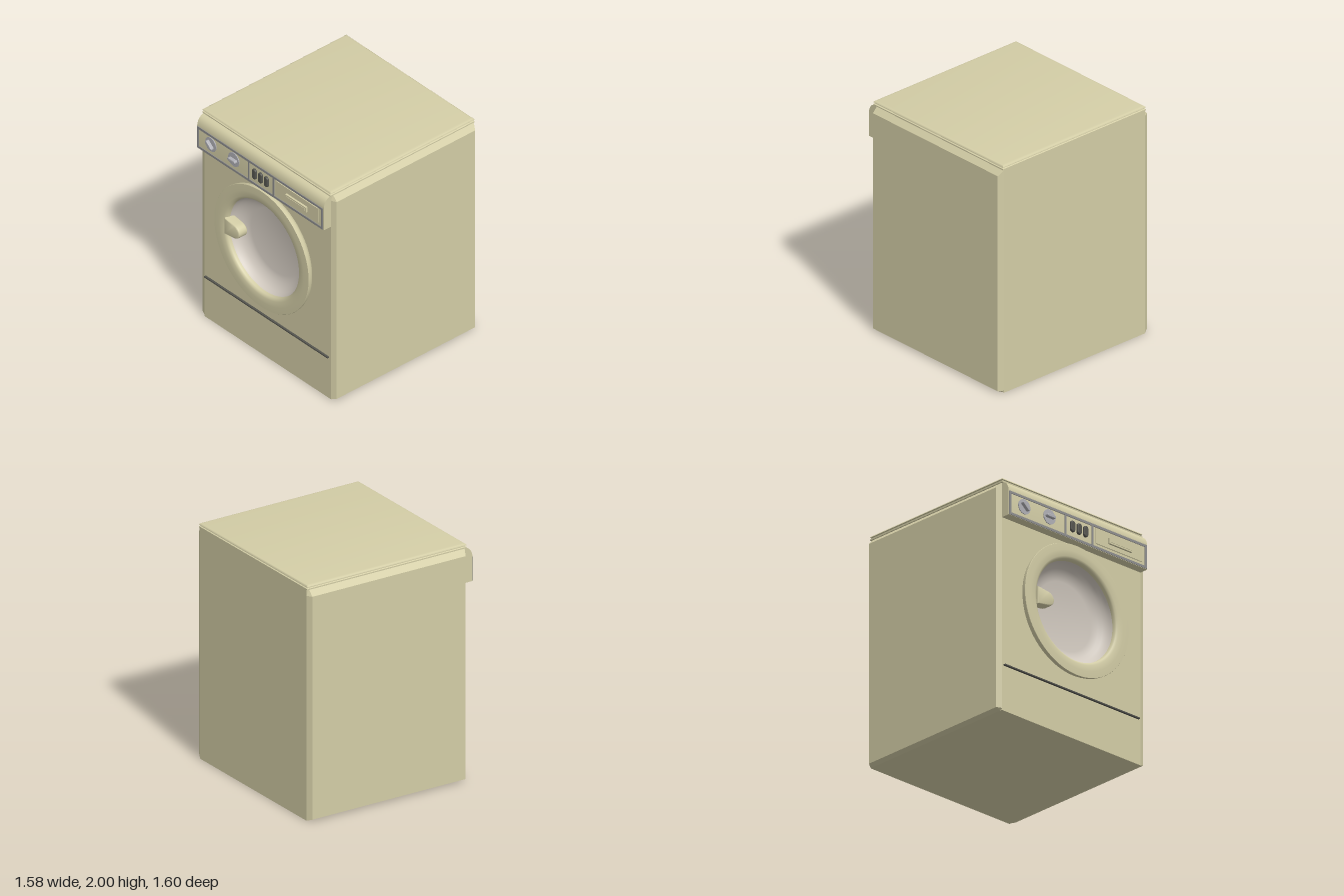
import * as THREE from 'three';
import { toCreasedNormals } from 'three/addons/utils/BufferGeometryUtils.js';

const paint = (color) => new THREE.MeshStandardMaterial({ color });
const enamel = paint(0xd3cda6), trim = paint(0x8e8e8e), metal = paint(0xb0b0b6);
const dark = paint(0x55554f), glass = paint(0xd2cac0);
const PANEL_Z = 0.765;
const DOOR_Y = 1.074;

// Joins stacked [x, z] outlines (left to right along the front, then round) into a closed solid.
function loft(levels, skipSide = -1) {
  const pos = [];
  const put = (...pts) => pts.forEach(([y, p]) => pos.push(p[0], y, p[1]));
  for (let l = 0; l < levels.length - 1; l++) {
    const [y0, a] = levels[l], [y1, b] = levels[l + 1];
    for (let i = 0; i < a.length; i++) {
      if (i === skipSide) continue;
      const j = (i + 1) % a.length;
      put([y0, a[i]], [y0, a[j]], [y1, b[j]], [y0, a[i]], [y1, b[j]], [y1, b[i]]);
    }
  }
  const [yb, bot] = levels[0], [yt, top] = levels[levels.length - 1];
  for (let i = 1; i < bot.length - 1; i++) {
    put([yb, bot[0]], [yb, bot[i + 1]], [yb, bot[i]]);
    put([yt, top[0]], [yt, top[i]], [yt, top[i + 1]]);
  }
  const g = new THREE.BufferGeometry();
  g.setAttribute('position', new THREE.Float32BufferAttribute(pos, 3));
  g.computeVertexNormals();
  return g;
}

function rect(x0, y0, x1, y1, Type = THREE.Shape) {
  return new Type([[x0, y0], [x1, y0], [x1, y1], [x0, y1]].map((p) => new THREE.Vector2(...p)));
}

// Lathe about the z axis from [radius, z] points.
function latheZ(points, segments = 96) {
  const g = new THREE.LatheGeometry(points.map((p) => new THREE.Vector2(...p)), segments);
  return toCreasedNormals(g.rotateX(Math.PI / 2), 0.6);
}

// Rounded pill with soft edges, lying in the xy plane and rising along z.
function pill(w, h, depth, bevel) {
  const W = w / 2 - bevel, H = h / 2 - bevel, r = Math.min(W, H) * 0.95;
  const s = new THREE.Shape();
  s.absarc(W - r, H - r, r, 0, Math.PI / 2);
  s.absarc(-W + r, H - r, r, Math.PI / 2, Math.PI);
  s.absarc(-W + r, -H + r, r, Math.PI, Math.PI * 1.5);
  s.absarc(W - r, -H + r, r, Math.PI * 1.5, Math.PI * 2);
  return new THREE.ExtrudeGeometry(s, {
    depth: depth - bevel, bevelSize: bevel, bevelThickness: bevel, bevelSegments: 2, curveSegments: 6,
  });
}

export function createModel() {
  const root = new THREE.Group();
  const add = (name, geometry, material, x = 0, y = 0, z = 0, parent = root) => {
    const m = new THREE.Mesh(geometry, material);
    m.name = name;
    m.position.set(x, y, z);
    parent.add(m);
    return m;
  };

  // Cabinet: chamfered box, its front a separate sheet with the door opening
  const c = 0.745;
  const cabinetRing = (w) => [[-c, 0.69], [c, 0.69], [w, 0.67], [w, -0.775], [c, -0.8], [-c, -0.8], [-w, -0.775], [-w, 0.67]];
  add('cabinet', loft([[0, 0.75], [0.018, 0.79], [1.912, 0.79], [1.96, 0.746]].map(([y, w]) => [y, cabinetRing(w)]), 0), enamel);
  const front = rect(-c, 0, c, 1.96);
  front.holes.push(new THREE.Path().absarc(0, DOOR_Y, 0.47, 0, Math.PI * 2, true));
  add('cabinetFront', new THREE.ShapeGeometry(front, 48), enamel, 0, 0, 0.69);

  // Lid with a groove round its rim
  const lidRing = (d) => [[-0.755 + d, 0.703 - d], [0.755 - d, 0.703 - d], [0.755 - d, -0.8 + d], [-0.755 + d, -0.8 + d]];
  const lid = [[1.955, 0.01], [1.96, 0], [1.97, 0], [1.975, 0.009], [1.98, 0.009], [1.984, 0], [1.991, 0.002], [1.997, 0.009], [2, 0.025]];
  add('lid', toCreasedNormals(loft(lid.map(([y, d]) => [y, lidRing(d)])), 0.7), enamel);

  // Control panel housing: side profile extruded across the width
  const side = new THREE.Shape();
  side.moveTo(-0.68, 1.662);
  side.lineTo(-PANEL_Z, 1.662);
  side.lineTo(-PANEL_Z, 1.875);
  side.bezierCurveTo(-0.76, 1.91, -0.745, 1.955, -0.69, 1.958);
  side.lineTo(-0.68, 1.958);
  const housing = new THREE.ExtrudeGeometry(side, { depth: 1.49, bevelEnabled: false, curveSegments: 10 });
  housing.rotateY(Math.PI / 2).translate(-0.745, 0, 0);
  add('controlPanel', toCreasedNormals(housing, 0.6), enamel);

  // Trim frame with three windows
  const frame = rect(-0.742, 1.665, 0.738, 1.868);
  for (const [x0, x1] of [[-0.722, -0.143], [-0.127, 0.147], [0.163, 0.718]]) {
    frame.holes.push(rect(x0, 1.685, x1, 1.848, THREE.Path));
  }
  add('panelFrame', new THREE.ExtrudeGeometry(frame, { depth: 0.006, bevelEnabled: false }), trim, 0, 0, PANEL_Z);

  // Dials with grips
  for (const [x, turn] of [[-0.58, -0.72], [-0.31, 0]]) {
    const dial = new THREE.Group();
    dial.name = 'dial';
    dial.position.set(x, 1.777, PANEL_Z);
    dial.rotation.z = turn;
    root.add(dial);
    add('dialDisc', latheZ([[0.063, 0], [0.063, 0.007], [0, 0.008]], 48), metal, 0, 0, 0, dial);
    add('dialGrip', pill(0.09, 0.027, 0.036, 0.005), metal, 0, 0, 0, dial);
  }

  // Push buttons
  for (const x of [-0.063, 0.007, 0.077]) {
    add('pushButton', pill(0.046, 0.095, 0.018, 0.008), dark, x, 1.773, PANEL_Z);
  }

  // Detergent drawer and its pull
  add('drawer', new THREE.BoxGeometry(0.495, 0.134, 0.016), enamel, 0.437, 1.775, PANEL_Z);
  add('drawerPull', new THREE.BoxGeometry(0.246, 0.048, 0.024), enamel, 0.44, 1.768, PANEL_Z + 0.013);
  add('drawerPullRidge', new THREE.BoxGeometry(0.22, 0.022, 0.03), enamel, 0.44, 1.768, PANEL_Z + 0.013);

  // Door ring and recessed glass bowl
  add('doorRing', latheZ([
    [0.515, 0.68], [0.53, 0.696], [0.545, 0.71], [0.553, 0.727], [0.557, 0.752], [0.555, 0.755],
    [0.5, 0.757], [0.45, 0.754], [0.432, 0.746], [0.425, 0.735], [0.422, 0.715], [0.422, 0.68],
  ]), enamel, 0, DOOR_Y);
  add('doorGlass', latheZ([
    [0.424, 0.72], [0.418, 0.695], [0.404, 0.668], [0.38, 0.643], [0.35, 0.623], [0.32, 0.61], [0.29, 0.603], [0, 0.6],
  ]), glass, 0, DOOR_Y);

  // Door handle: tapering tongue reaching in from the ring
  const tongue = new THREE.Shape();
  tongue.moveTo(-0.42, 0.068);
  tongue.lineTo(-0.32, 0.054);
  tongue.bezierCurveTo(-0.24, 0.045, -0.24, -0.045, -0.32, -0.054);
  tongue.lineTo(-0.42, -0.068);
  const handle = new THREE.ExtrudeGeometry(tongue, {
    depth: 0.06, bevelSize: 0.008, bevelThickness: 0.015, bevelSegments: 3, curveSegments: 12,
  });
  add('doorHandle', toCreasedNormals(handle, 0.8), enamel, 0, DOOR_Y, 0.69);

  // Kick plate seam
  add('kickPlateSeam', new THREE.BoxGeometry(1.45, 0.011, 0.03), dark, -0.003, 0.394, 0.693);

  return root;
}
